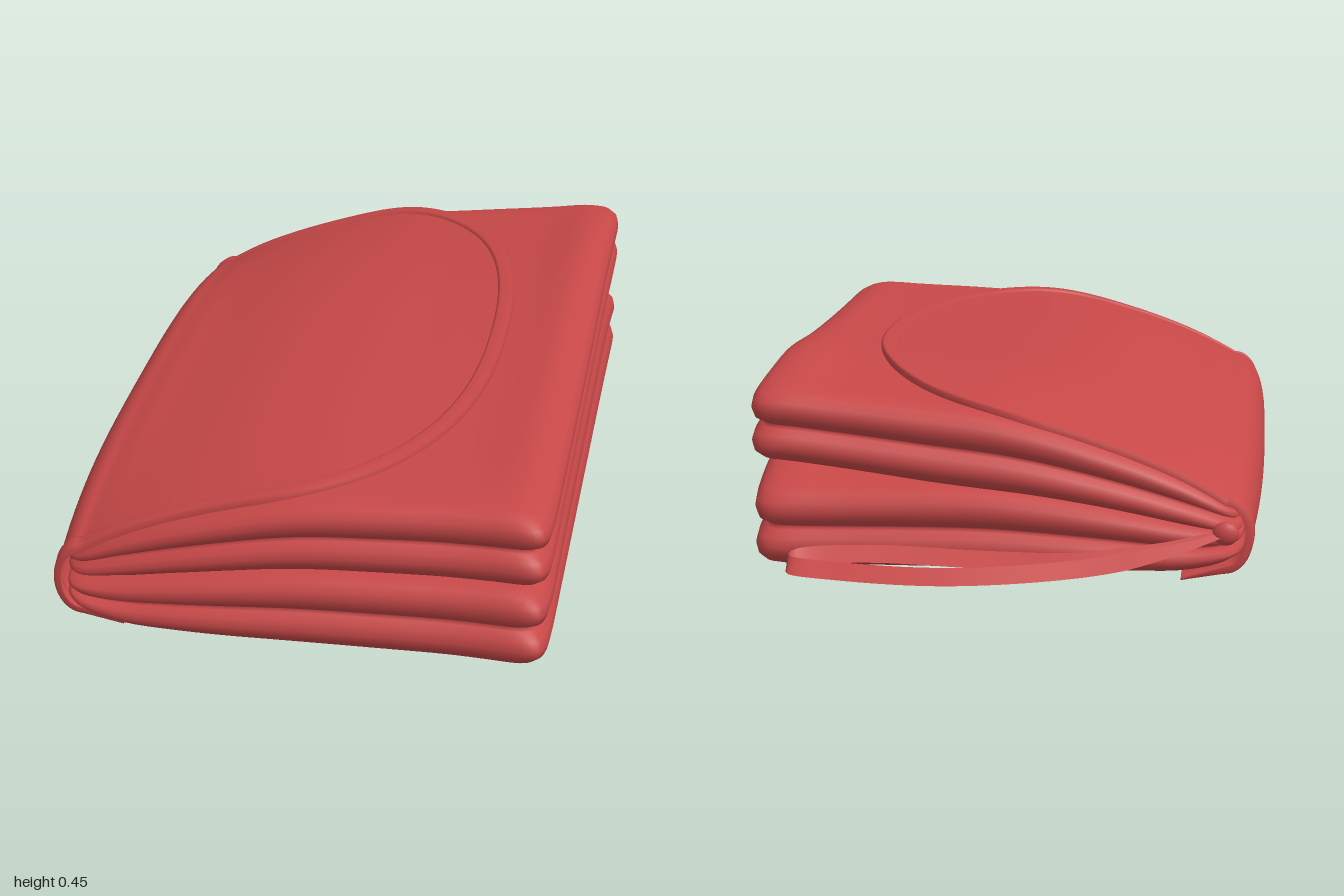
import * as THREE from 'three';
import { mergeVertices } from 'three/addons/utils/BufferGeometryUtils.js';

const fabric = new THREE.MeshStandardMaterial({ color: 0xc84848 });
const thinFabric = new THREE.MeshStandardMaterial({ color: 0xc84848, side: THREE.DoubleSide });
const { lerp, smoothstep } = THREE.MathUtils;

// Smooth function through a few samples
function smooth(xs, ys) {
  const f = new THREE.CubicInterpolant(xs, ys, 1, new Float32Array(1));
  return (x) => f.evaluate(x)[0];
}

// Surface from a rule point(u, v) -> [x, y, z], with u and v in 0..1
function surface(nu, nv, point) {
  const pos = [], index = [];
  for (let j = 0; j <= nv; j++)
    for (let i = 0; i <= nu; i++) pos.push(...point(i / nu, j / nv));
  for (let j = 0; j < nv; j++)
    for (let i = 0; i < nu; i++) {
      const a = j * (nu + 1) + i, b = a + 1, c = a + nu + 1, d = c + 1;
      index.push(a, b, c, b, d, c);
    }
  let g = new THREE.BufferGeometry();
  g.setAttribute('position', new THREE.Float32BufferAttribute(pos, 3));
  g.setIndex(index);
  g = mergeVertices(g, 1e-5);
  g.computeVertexNormals();
  return g;
}

// Overall height of the folded stack
const xs = [-0.58, -0.5, -0.4, -0.2, 0, 0.2, 0.4, 0.5, 0.58];
const topMiddle = smooth(xs, [0.2, 0.257, 0.288, 0.345, 0.375, 0.386, 0.4, 0.415, 0.405]);
const topEnds = smooth(xs, [0.13, 0.18, 0.235, 0.31, 0.36, 0.378, 0.388, 0.392, 0.385]);
const tilt = smooth([-1, -0.85, -0.4, 0, 0.5, 1], [0.04, 0.042, 0.045, 0.012, -0.01, -0.005]);
const ends = (z) => Math.min(1, Math.abs((z - 0.04) / 0.87)) ** 3;

function top(x, z) {
  return lerp(topMiddle(x), topEnds(x), ends(z)) + tilt(z) * Math.max(0, (x + 0.58) / 1.16) ** 2.2;
}
function bottom(x) {
  return 0.01 + 0.045 * Math.max(0, (-0.35 - x) / 0.2) ** 2;
}
// Height where the two halves meet, and the gap that opens at the rear right corner
function split(x, z) {
  const share = 0.51 + 0.08 * (1 - ends(z)) * smoothstep(x, -0.4, 0.5);
  return lerp(bottom(x), top(x, z), share);
}
const gap = (x, z) => 0.035 * smoothstep(x, 0, 0.58) * smoothstep(-z, 0.5, 0.85);

const halves = {
  lowerPad: { front: 0.965, back: -0.82, low: bottom, high: (x, z) => split(x, z) - gap(x, z) },
  upperPad: { front: 0.95, back: -0.845, low: (x, z) => split(x, z) + gap(x, z), high: top },
};

// Side of a pad, creased half way up where it is folded; [inset, share of height]
const side = [[0.07, 0], [0.04, 0.02], [0.018, 0.07], [0.004, 0.16], [0, 0.27], [0.006, 0.39], [0.022, 0.47],
  [0.03, 0.5], [0.022, 0.53], [0.006, 0.61], [0, 0.73], [0.004, 0.84], [0.018, 0.93], [0.04, 0.98], [0.07, 1]];

// One folded pad: rings from the middle of the base, up the side, to the middle of the top
function pad({ front, back, low, high }) {
  const cap = 24, rings = 2 * cap + side.length - 1;
  return surface(160, rings, (s, t) => {
    const n = Math.round(t * rings);
    const k = THREE.MathUtils.clamp(n - cap, 0, side.length - 1);
    const [inset, share] = side[k];
    const r = Math.min(1, n / cap, (rings - n) / cap);
    // point on a square outline with slightly rounded corners
    const q = (s * 4) % 4, e = Math.sin((Math.PI / 2) * (2 * (q % 1) - 1));
    const [a, b] = [[1, -e], [-e, -1], [-1, e], [e, 1]][Math.floor(q)];
    const round = (Math.abs(a) ** 24 + Math.abs(b) ** 24) ** (1 / 24);
    const u = a / round, v = b / round;
    const x = 0.0175 + r * u * (0.5625 - inset);
    const corner = Math.max(0, (x - 0.3) / 0.28) ** 2, spine = Math.max(0, (-0.1 - x) / 0.45) ** 2;
    const zf = front - 0.05 * spine + 0.03 * corner - inset;
    const zb = back + 0.015 * spine - 0.012 * corner + inset;
    const z = lerp(zb, zf, (1 + r * v) / 2);
    return [x, lerp(low(x, z), high(x, z), share), z];
  });
}

// Maps the flat flap onto the stack: over the top, round the spine, under the base
function wrap(a, z, lift = 0) {
  if (a >= -0.5) return [a, top(a, z) + 0.01 + lift, z];
  const s = -0.5 - a, low = 0.03, high = top(-0.5, z) + 0.01;
  if (s < 0.3) {
    const angle = Math.PI / 2 + (Math.PI * s) / 0.3;
    const rx = 0.085 - 0.03 * ends(z) + lift, ry = (high - low) / 2 + lift;
    return [-0.5 + rx * Math.cos(angle), (high + low) / 2 + ry * Math.sin(angle), z];
  }
  const q = Math.min(1, (s - 0.3) / 0.1);
  return [-0.5 + 0.1 * q, low - 0.022 * q - lift * (1 - 0.7 * q), z];
}

function flap() {
  return surface(80, 64, (s, t) => {
    const w = Math.sin((Math.PI / 2) * (1 - 2 * t));
    const end = -0.1 + 0.47 * Math.sqrt(Math.max(0, 1 - Math.abs(w) ** 2.4));
    return wrap(lerp(-0.9, end, s), 0.04 + 0.87 * w);
  });
}

// Flat outline of the flap, from one lower corner round to the other
function flapOutline(t) {
  if (t < 0.3) return new THREE.Vector2(-0.9 + (0.8 * t) / 0.3, 0.91);
  if (t > 0.7) return new THREE.Vector2(-0.9 + (0.8 * (1 - t)) / 0.3, -0.83);
  const angle = (Math.PI * (0.5 - t)) / 0.4, sine = Math.sin(angle);
  const w = Math.sign(sine) * Math.abs(sine) ** (2 / 2.4);
  return new THREE.Vector2(-0.1 + 0.47 * Math.cos(angle), 0.04 + 0.87 * w);
}

// Raised tape that follows the flap outline; [inset, height] across its width
const tape = [[0, -0.01], [0, 0.003], [0.006, 0.007], [0.034, 0.007], [0.04, 0.004], [0.042, -0.003]];
function binding() {
  return surface(tape.length - 1, 200, (s, t) => {
    const p = flapOutline(t);
    const d = flapOutline(Math.min(1, t + 0.004)).sub(flapOutline(Math.max(0, t - 0.004))).normalize();
    const [inset, height] = tape[Math.round(s * (tape.length - 1))];
    return wrap(p.x + d.y * inset, p.y - d.x * inset, height);
  });
}

// Flat ribbon loop lying low behind the stack
function strap() {
  const path = new THREE.CatmullRomCurve3([
    [-0.5, 0.12, -0.845], [-0.38, 0.09, -0.89], [-0.2, 0.06, -0.935], [0.1, 0.045, -0.982],
    [0.36, 0.048, -0.965], [0.475, 0.055, -0.94], [0.46, 0.06, -0.9], [0.3, 0.065, -0.875],
    [0.02, 0.06, -0.888], [-0.18, 0.065, -0.9], [-0.36, 0.09, -0.875], [-0.5, 0.125, -0.84],
  ].map((p) => new THREE.Vector3(...p)));
  return surface(1, 120, (s, t) => {
    const p = path.getPointAt(t), wide = (s - 0.5) * Math.min(1, 0.3 + 6 * t, 0.3 + 6 * (1 - t));
    return [p.x, p.y + 0.032 * wide, p.z + 0.036 * wide];
  });
}

export function createModel() {
  const group = new THREE.Group();
  const add = (name, geometry, material) => {
    const mesh = new THREE.Mesh(geometry, material);
    mesh.name = name;
    group.add(mesh);
    return mesh;
  };
  for (const [name, half] of Object.entries(halves)) add(name, pad(half), fabric);
  add('flap', flap(), thinFabric);
  add('flapBinding', binding(), thinFabric);
  add('wristStrap', strap(), thinFabric);

  // Stitched knot where the strap meets the spine
  const knot = add('strapKnot', new THREE.SphereGeometry(0.025, 16, 12), fabric);
  knot.scale.set(1.2, 1.1, 0.7);
  knot.position.set(-0.5, 0.12, -0.84);
  return group;
}
